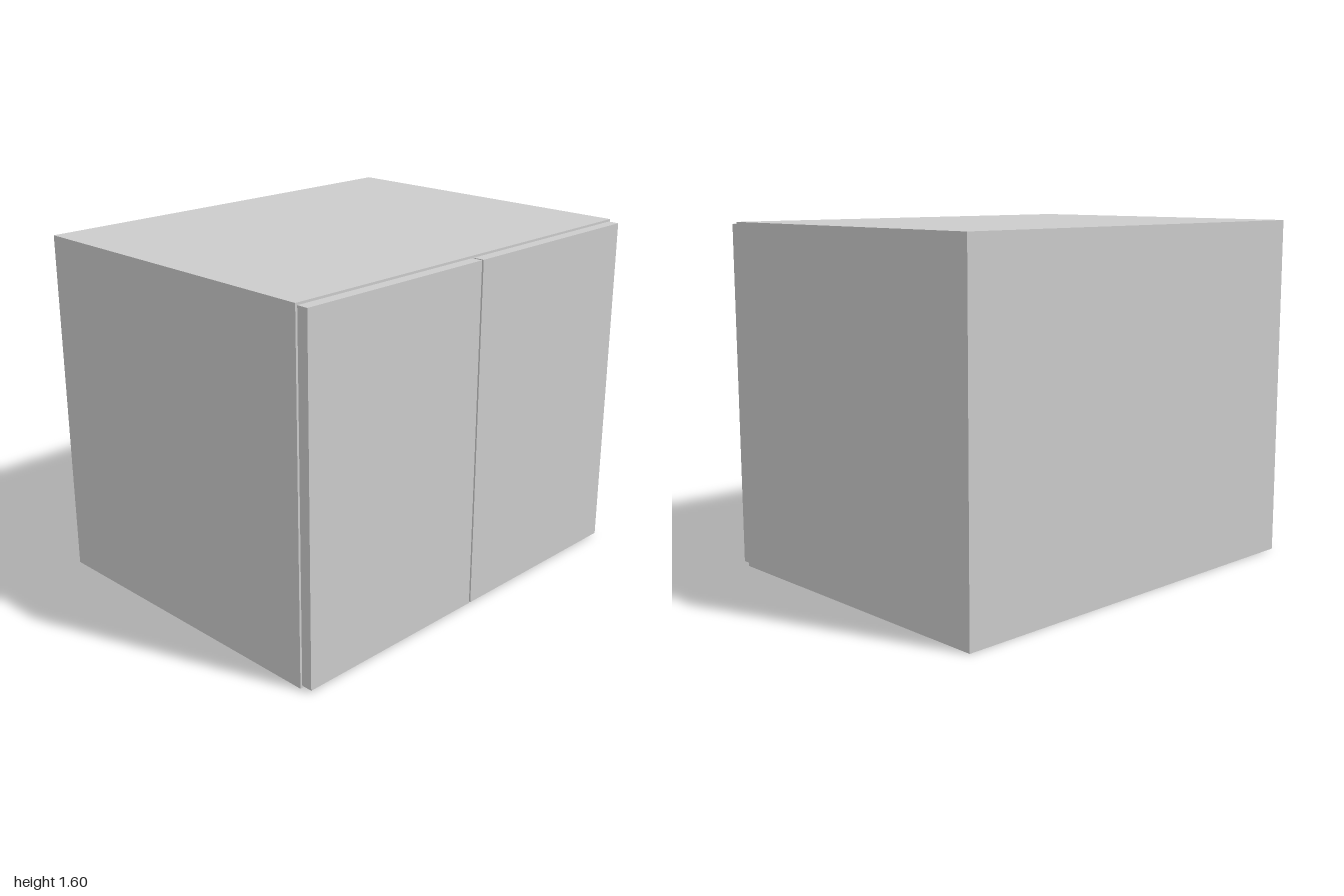
import * as THREE from 'three';

const W = 2, H = 1.6, T = 0.05;          // overall width, height, board thickness
const BACK = -0.797, FRONT = 0.745;      // carcass depth range
const DOOR_FRONT = 0.797, REVEAL = 0.01; // door face and margin around the doors
const BACK_T = 0.01;

export function createModel() {
  const cabinet = new THREE.Group();
  cabinet.name = 'cabinet';
  const material = new THREE.MeshStandardMaterial({ color: 0xcccccc, flatShading: true });

  // A board spanning the given ranges on each axis
  function board(name, [x0, x1], [y0, y1], [z0, z1]) {
    const mesh = new THREE.Mesh(new THREE.BoxGeometry(x1 - x0, y1 - y0, z1 - z0), material);
    mesh.position.set((x0 + x1) / 2, (y0 + y1) / 2, (z0 + z1) / 2);
    mesh.name = name;
    cabinet.add(mesh);
  }

  const inner = [-W / 2 + T, W / 2 - T];
  const boardDepth = [BACK + BACK_T, FRONT];

  // Carcass: horizontal boards and back fitted between the sides
  board('bottomPanel', inner, [0, T], boardDepth);
  board('topPanel', inner, [H - T, H], boardDepth);
  board('shelf', inner, [(H - T) / 2, (H + T) / 2], boardDepth);
  board('backPanel', inner, [0, H], [BACK, BACK + BACK_T]);

  // Mirrored sides and overlay doors with a narrow gap in the middle
  for (const [side, s] of [['left', 1], ['right', -1]]) {
    const span = (a, b) => (s > 0 ? [a, b] : [-b, -a]);
    board(side + 'SidePanel', span(W / 2 - T, W / 2), [0, H], [BACK, FRONT]);
    board(side + 'Door', span(0.005, W / 2 - REVEAL), [REVEAL, H - REVEAL], [FRONT, DOOR_FRONT]);
  }

  return cabinet;
}
